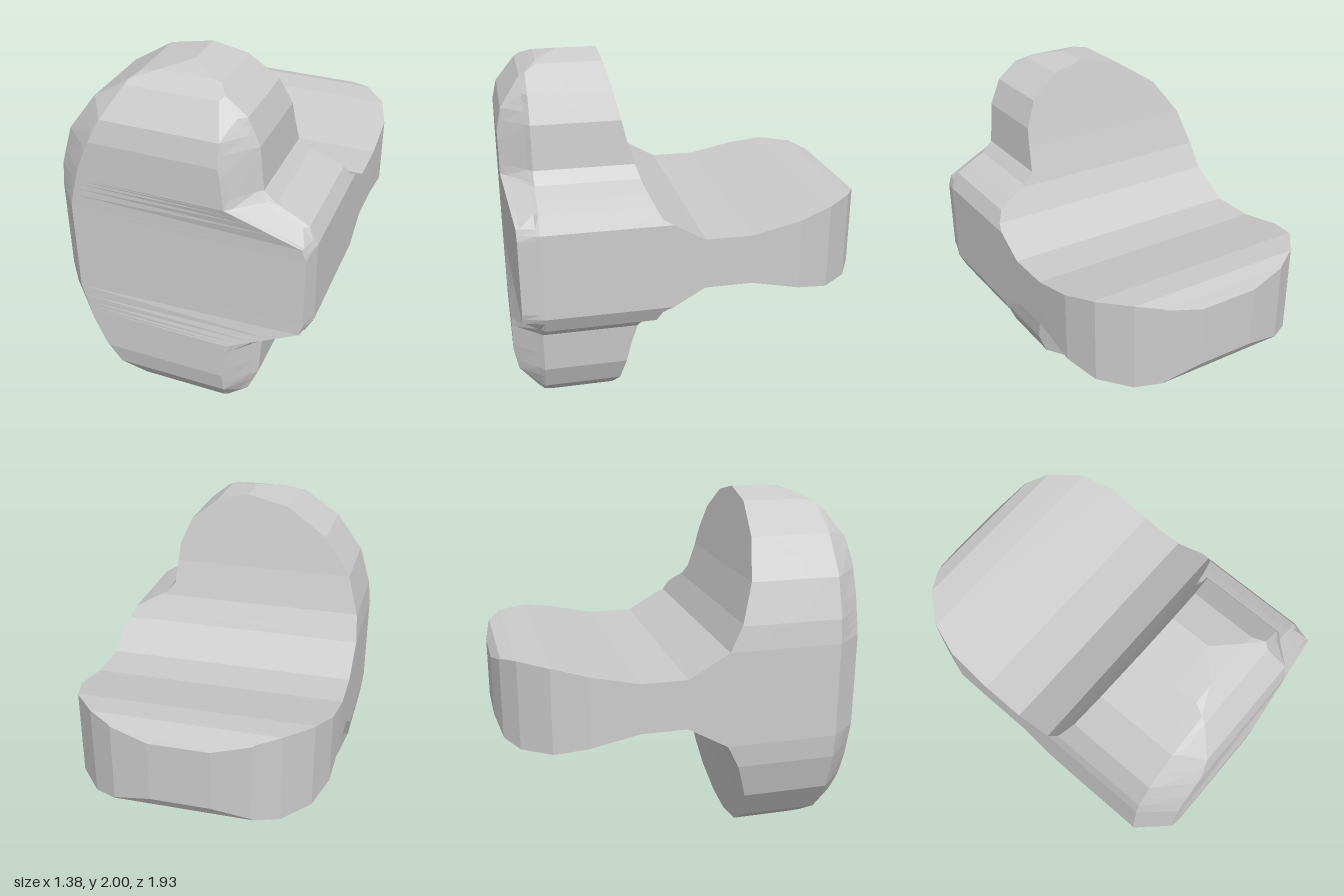
import * as THREE from 'three';

// Piecewise linear lookup in rows of [key, value], keys ascending
function lerpTable(rows, k) {
  if (k <= rows[0][0]) return rows[0][1];
  for (let i = 1; i < rows.length; i++) {
    const [a, va] = rows[i - 1], [b, vb] = rows[i];
    if (k <= b) return va + (vb - va) * (k - a) / (b - a);
  }
  return rows[rows.length - 1][1];
}

const MID = 1; // the body mirrors above and below y = 1

// Outline seen from the front: x against distance from the middle height
const rightEdge = [[0, 0.685], [0.23, 0.685], [0.32, 0.64], [0.36, 0.57], [0.41, 0.47], [0.47, 0.41],
  [0.7, 0.39], [0.84, 0.33], [0.96, 0.18], [1, 0]];
const leftEdge = [[0, -0.69], [0.26, -0.69], [0.39, -0.675], [0.6, -0.61], [0.8, -0.46], [0.95, -0.23], [1, 0]];

// Smaller outline of the bevelled front face
const rightFace = [[0, 0.66], [0.2, 0.66], [0.26, 0.64], [0.42, 0.27], [0.6, 0.25], [0.76, 0.22], [1, -0.1]];
const leftFace = [[0, -0.55], [0.26, -0.55], [0.53, -0.48], [0.73, -0.37], [1, -0.1]];

// Half height and half width along z
const halfHeight = [[-0.965, 0.165], [-0.93, 0.22], [-0.86, 0.24], [-0.7, 0.23], [-0.52, 0.19], [-0.27, 0.135],
  [-0.02, 0.135], [0.2, 0.26], [0.27, 0.4], [0.33, 0.6], [0.42, 1], [0.63, 1], [0.75, 0.97], [0.84, 0.91],
  [0.945, 0.76], [0.97, 0.64]];
const halfWidth = [[-0.965, 0.16], [-0.935, 0.36], [-0.86, 0.49], [-0.71, 0.62], [-0.53, 0.68], [-0.28, 0.69]];

const BEVEL = 0.81, FRONT = 0.97;
const sortedUnique = (list) => [...new Set(list.map((v) => +v.toFixed(4)))].sort((a, b) => a - b);

function createBodyGeometry() {
  const steps = sortedUnique([...rightEdge, ...leftEdge, ...rightFace].map((r) => r[0]));
  const levels = sortedUnique([...steps, ...steps.map((d) => -d)]);

  // Layers also fall where the curved back crosses an outline corner
  const flare = halfHeight.filter(([z]) => z >= -0.02 && z <= 0.42).map(([z, h]) => [h, z]);
  const crossings = steps.filter((d) => d > 0.135).map((d) => lerpTable(flare, d));
  const layers = sortedUnique([...halfHeight.map((r) => r[0]), ...halfWidth.map((r) => r[0]),
    ...crossings, BEVEL]).reverse();

  const section = (z) => {
    const h = lerpTable(halfHeight, z), w = lerpTable(halfWidth, z);
    const t = Math.max(0, (z - BEVEL) / (FRONT - BEVEL));
    const side = (edge, face) => levels.map((level) => {
      const dy = THREE.MathUtils.clamp(level, -h, h), d = Math.abs(dy);
      const full = lerpTable(edge, d);
      const x = THREE.MathUtils.clamp(full + (lerpTable(face, d) - full) * t, -w, w);
      // The side arm's front leans slightly back
      const lean = t > 0 ? 0.3 * Math.max(0, (x - 0.27) / 0.38) : 0;
      return new THREE.Vector3(x, MID + dy, z - Math.max(0, z - BEVEL) * lean);
    });
    return { right: side(rightEdge, rightFace), left: side(leftEdge, leftFace) };
  };

  const positions = [];
  const triangle = (a, b, c) => {
    const area = new THREE.Triangle(a, b, c).getArea();
    if (area > 1e-7) for (const p of [a, b, c]) positions.push(p.x, p.y, p.z);
  };
  const quad = (a, b, c, d) => { triangle(a, b, c); triangle(a, c, d); };

  const sections = layers.map(section);
  const rings = sections.map((s) => [...s.right, ...[...s.left].reverse()]);

  // Walls between neighbouring sections
  for (let j = 0; j + 1 < rings.length; j++) {
    const f = rings[j], b = rings[j + 1], n = f.length;
    for (let i = 0; i < n; i++) {
      const k = (i + 1) % n;
      quad(f[i], b[i], b[k], f[k]);
    }
  }

  // Front and back faces
  const first = sections[0], last = sections[sections.length - 1];
  for (let i = 0; i + 1 < levels.length; i++) {
    quad(first.right[i], first.right[i + 1], first.left[i + 1], first.left[i]);
    quad(last.left[i], last.left[i + 1], last.right[i + 1], last.right[i]);
  }

  const geometry = new THREE.BufferGeometry();
  geometry.setAttribute('position', new THREE.Float32BufferAttribute(positions, 3));
  geometry.computeVertexNormals();
  return geometry;
}

export function createModel() {
  const model = new THREE.Group();
  model.name = 'facetedBlock';
  const material = new THREE.MeshStandardMaterial({ color: 0xcccccc, flatShading: true });
  const body = new THREE.Mesh(createBodyGeometry(), material);
  body.name = 'body';
  model.add(body);
  return model;
}
